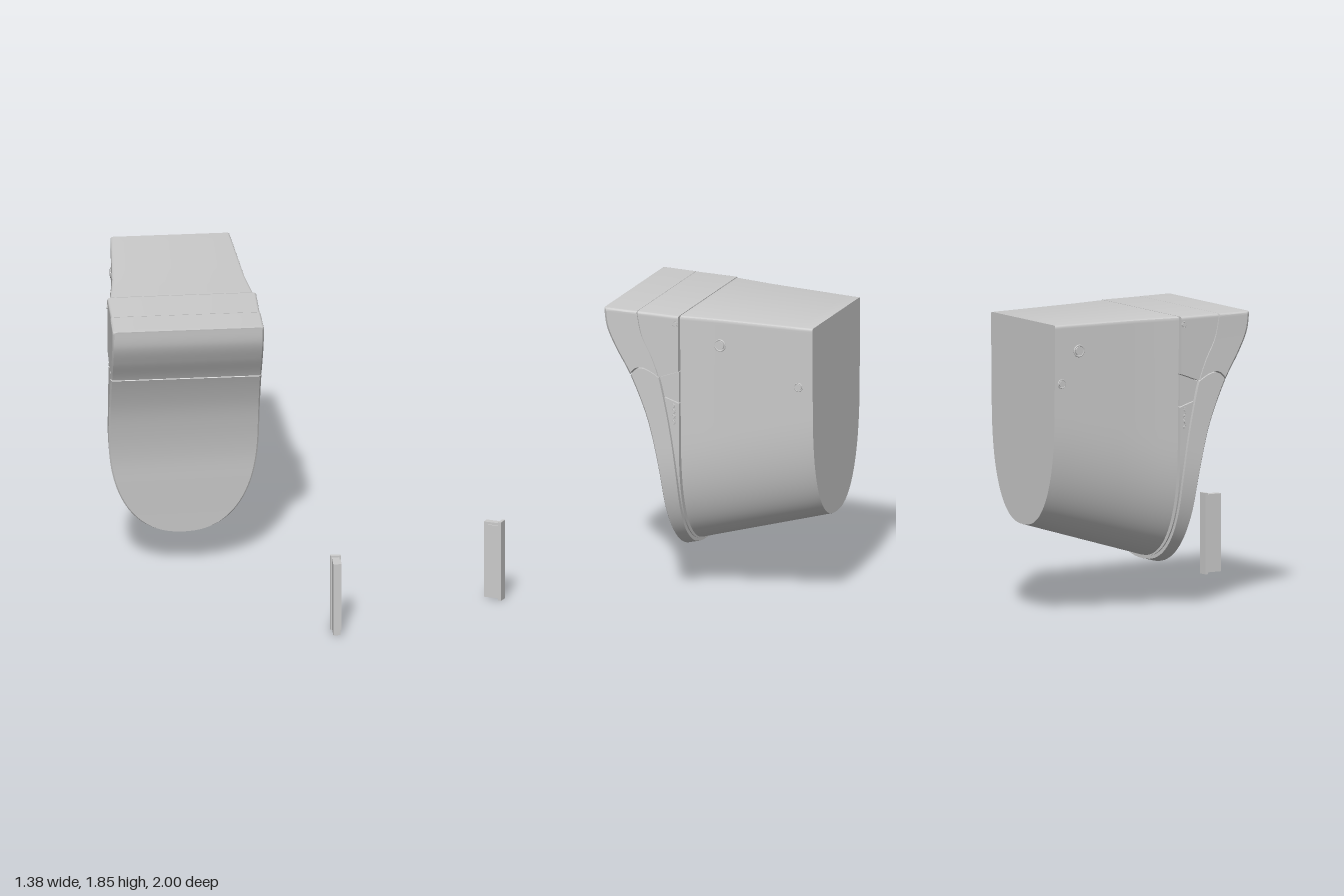
import * as THREE from 'three';
import { toCreasedNormals } from 'three/addons/utils/BufferGeometryUtils.js';

const CX = -0.216, TOP = 1.85;
const lerp = THREE.MathUtils.lerp;

// Smooth z-of-y lookup through a few (y, z) points, ordered by rising y
function profile(points) {
  const p = new THREE.SplineCurve(points.map(([y, z]) => new THREE.Vector2(y, z))).getPoints(160);
  return (y) => {
    let i = 1;
    while (i < p.length - 1 && p[i].x < y) i++;
    const t = THREE.MathUtils.clamp((y - p[i - 1].x) / (p[i].x - p[i - 1].x), 0, 1);
    return lerp(p[i - 1].y, p[i].y, t);
  };
}

const frontZ = profile([[0.26, -0.045], [0.4, -0.035], [0.6, -0.018], [0.8, 0], [1, 0.038], [1.2, 0.095],
  [1.43, 0.195], [1.6, 0.295], [1.73, 0.355], [1.85, 0.372]]);
const seamZ = profile([[0.26, -0.12], [0.7, -0.115], [0.9, -0.1], [1.1, -0.07], [1.3, -0.03], [1.44, 0.005],
  [1.57, 0.055], [1.7, 0.12], [1.85, 0.152]]);

// Half width at height y of a U-shaped outline with small round top corners
function halfWidth(y, a, bottom, draft) {
  const t = THREE.MathUtils.clamp((bottom + 0.74 - y) / 0.74, 0, 1);
  const r = 0.015, d = Math.max(0, y - (TOP - r));
  const w = a * (1 - draft * (TOP - y)) * Math.pow(Math.max(0, 1 - t ** 2.4), 1 / 2.4);
  return Math.max(0.001, w - (r - Math.sqrt(Math.max(0, r * r - d * d))));
}

// Closed solid mirrored in x: at(u, v) gives [half width, y, z], u front to back, v upwards
function solid(name, at, material, rows = 48) {
  const us = [0, 0.03, 0.07, 0.15, 0.3, 0.45, 0.6, 0.75, 0.9, 1];
  const n = us.length, m = n * 2, pos = [], index = [];
  const quad = (a, b, c, d) => index.push(a, b, c, a, c, d);
  for (let j = 0; j <= rows; j++) {
    const v = (1 - Math.cos((Math.PI * j) / rows)) / 2;
    const side = us.map((u) => at(u, v));
    side.forEach(([w, y, z]) => pos.push(w, y, z));
    side.reverse().forEach(([w, y, z]) => pos.push(-w, y, z));
  }
  for (let j = 0; j < rows; j++) {
    for (let k = 0; k < m; k++) {
      const l = (k + 1) % m;
      quad(j * m + k, j * m + l, (j + 1) * m + l, (j + 1) * m + k);
    }
  }
  const top = rows * m;
  for (let k = 0; k < n - 1; k++) {
    quad(top + k, top + k + 1, top + m - 2 - k, top + m - 1 - k);
    quad(m - 1 - k, m - 2 - k, k + 1, k);
  }
  const g = new THREE.BufferGeometry();
  g.setAttribute('position', new THREE.Float32BufferAttribute(pos, 3));
  g.setIndex(index);
  const mesh = new THREE.Mesh(toCreasedNormals(g, 0.5), material);
  mesh.name = name;
  mesh.position.x = CX;
  return mesh;
}

export function createModel() {
  const group = new THREE.Group();
  const material = new THREE.MeshStandardMaterial({ color: 0xcccccc });

  // Main body, tapering and rising towards the wall
  const bodyHalf = (z) => (z > -0.38
    ? lerp(0.447, 0.415, (-0.135 - z) / 0.245)
    : lerp(0.415, 0.372, (-0.38 - z) / 0.62));
  group.add(solid('body', (u, v) => {
    const z = lerp(-0.135, -1, u), bottom = lerp(0.305, 0.56, u);
    const y = lerp(bottom, TOP, v);
    return [halfWidth(y, bodyHalf(z), bottom, 0.04), y, z];
  }, material));

  // Lid and fixed front cap, meeting in an arched joint
  const arc = (u) => 1.432 + 0.008 * u + 0.052 * Math.sin(Math.PI * u);
  const cover = (name, low, high) => group.add(solid(name, (u, v) => {
    const y = lerp(low(u), high(u), v);
    const edge = 0.01 * Math.max(0, 1 - u / 0.07);
    const w = halfWidth(y, 0.473 - 0.004 * u, lerp(0.26, 0.28, u), 0.008);
    return [Math.max(0.001, w - edge), y, lerp(frontZ(y), seamZ(y), u)];
  }, material));
  cover('lid', (u) => lerp(0.26, 0.28, u), (u) => arc(u) - 0.004);
  cover('frontCap', (u) => arc(u) + 0.004, () => TOP);

  // Rim behind the lid, in three panels split by sloping joints
  const rim = (name, a, low, high) => group.add(solid(name, (u, v) => {
    const y = lerp(low(u), high(u), v);
    return [halfWidth(y, a, 0.3, 0.01), y, lerp(seamZ(y) - 0.003, -0.129, u)];
  }, material, 32));
  rim('lowerRim', 0.455, () => 0.3, (u) => lerp(1.31, 1.28, u));
  rim('hingePanel', 0.45, (u) => lerp(1.315, 1.285, u), (u) => lerp(1.435, 1.485, u));
  rim('upperRim', 0.465, (u) => lerp(1.44, 1.49, u), () => TOP);

  // Small round studs on the sides
  const stud = (name, side, y, z, r, half) => {
    const part = new THREE.Group();
    const disc = new THREE.Mesh(new THREE.CylinderGeometry(r * 0.7, r * 0.7, 0.016, 24), material);
    disc.rotation.z = Math.PI / 2;
    const ring = new THREE.Mesh(new THREE.TorusGeometry(r * 0.87, r * 0.13, 8, 28), material);
    ring.rotation.y = Math.PI / 2;
    part.add(disc, ring);
    part.name = name;
    part.position.set(CX + side * half, y, z);
    group.add(part);
  };
  const onBody = (y, z) => bodyHalf(z) * (1 - 0.04 * (TOP - y));
  for (const [side, y, z, r] of [[1, 1.68, -0.39, 0.04], [1, 1.46, -0.905, 0.03],
    [-1, 1.68, -0.83, 0.04], [-1, 1.48, -0.95, 0.03]]) {
    stud('sideStud', side, y, z, r, onBody(y, z));
  }
  for (const side of [-1, 1]) {
    for (let i = 0; i < 4; i++) stud('rimStud', side, 1.155 + i * 0.036, -0.095, 0.014, 0.451);
    stud('hingeStud', side, 1.8, -0.11, 0.02, 0.463);
  }

  // Loose mounting bracket: flange, stem and side lip
  const bracket = new THREE.Group();
  bracket.name = 'bracket';
  for (const [name, x0, x1, y0, y1, z0, z1] of [
    ['flange', 0.625, 0.69, 0, 0.51, 0.88, 0.9],
    ['stem', 0.635, 0.68, 0.01, 0.5, 0.9, 1],
    ['lip', 0.68, 0.69, 0.03, 0.485, 0.9, 0.968]]) {
    const mesh = new THREE.Mesh(new THREE.BoxGeometry(x1 - x0, y1 - y0, z1 - z0), material);
    mesh.position.set((x0 + x1) / 2, (y0 + y1) / 2, (z0 + z1) / 2);
    mesh.name = name;
    bracket.add(mesh);
  }
  group.add(bracket);
  return group;
}
